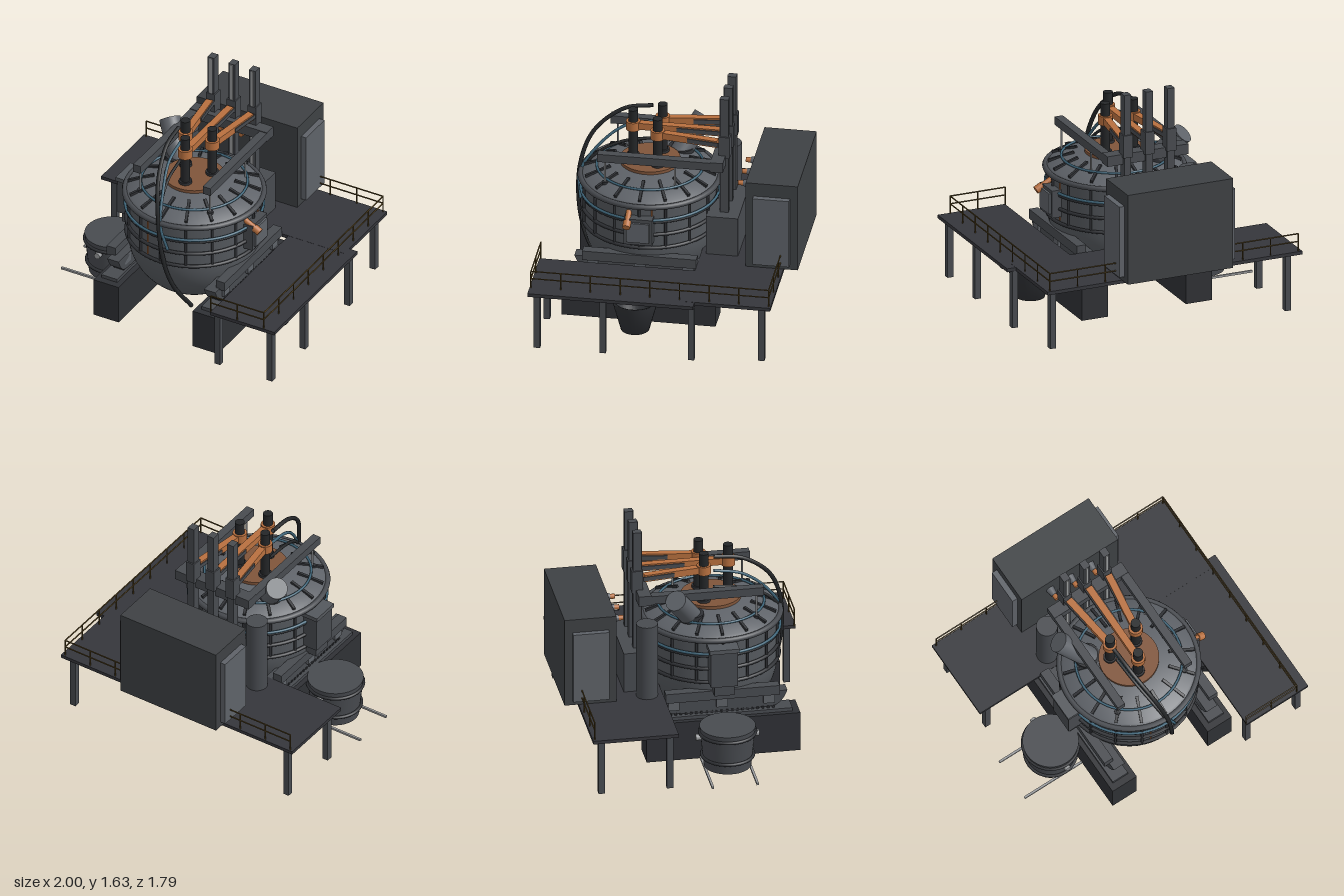
import * as THREE from 'three';

const V = (x, y, z) => new THREE.Vector3(x, y, z);
const mat = (color) => new THREE.MeshStandardMaterial({ color, side: THREE.DoubleSide });
const M = {
  shell: mat(0x54585d), steel: mat(0x484b50), pale: mat(0x5e6268), dark: mat(0x2f3135), black: mat(0x242628),
  deck: mat(0x35363b), house: mat(0x3e4144), light: mat(0x9a9c9e), copper: mat(0xb8703f), hub: mat(0x80553a),
  blue: mat(0x3e6478), rail: mat(0x54421c),
};
const CX = -0.03, CZ = 0.2; // furnace axis

export function createModel() {
  const root = new THREE.Group();
  const add = (name, geo, m, parent = root) => {
    const mesh = new THREE.Mesh(geo, m);
    mesh.name = name;
    parent.add(mesh);
    return mesh;
  };
  // Box from its min and max corners
  const box = (name, m, x0, x1, y0, y1, z0, z1) => {
    const b = add(name, new THREE.BoxGeometry(x1 - x0, y1 - y0, z1 - z0), m);
    b.position.set((x0 + x1) / 2, (y0 + y1) / 2, (z0 + z1) / 2);
    return b;
  };
  // Cylinder between two points
  const rod = (name, m, a, b, r0, r1 = r0, seg = 20) => {
    const c = add(name, new THREE.CylinderGeometry(r1, r0, a.distanceTo(b), seg), m);
    c.position.copy(a).lerp(b, 0.5);
    c.quaternion.setFromUnitVectors(V(0, 1, 0), b.clone().sub(a).normalize());
    return c;
  };
  // Rectangular bar between two points
  const bar = (name, m, a, b, w, h) => {
    const c = add(name, new THREE.BoxGeometry(w, h, a.distanceTo(b)), m);
    c.position.copy(a).lerp(b, 0.5);
    c.lookAt(b);
    return c;
  };
  const hoop = (name, m, x, y, z, r, t) => {
    const h = add(name, new THREE.TorusGeometry(r, t, 8, 56), m);
    h.rotation.x = Math.PI / 2;
    h.position.set(x, y, z);
  };
  const lathe = (name, m, pts) => {
    const l = add(name, new THREE.LatheGeometry(pts.map(p => new THREE.Vector2(...p)), 56), m);
    l.position.set(CX, 0, CZ);
  };
  const polar = (r, y, a) => V(CX + r * Math.sin(a), y, CZ + r * Math.cos(a));

  // Furnace vessel: round bowl, straight wall, domed roof
  const bowl = [[0, 0.15]];
  for (let i = 0; i <= 12; i++) {
    const y = 0.15 + (i / 12) * 0.4;
    bowl.push([0.46 * Math.sqrt(1 - ((0.55 - y) / 0.44) ** 2), y]);
  }
  lathe('bowl', M.shell, bowl);
  lathe('wall', M.shell, [[0.46, 0.55], [0.46, 0.89]]);
  lathe('roof', M.pale, [[0.48, 0.89], [0.455, 0.92], [0.36, 0.96], [0.2, 1.0], [0, 1.01]]);
  rod('roofCentre', M.hub, V(CX, 0.99, CZ), V(CX, 1.02, CZ), 0.21, 0.21, 48);
  hoop('rimRing', M.steel, CX, 0.89, CZ, 0.482, 0.02);
  for (const y of [0.565, 0.67, 0.77]) hoop('wallHoop', M.dark, CX, y, CZ, 0.472, 0.013);
  hoop('coolingPipe', M.blue, CX, 0.787, CZ, 0.48, 0.01);
  hoop('roofCoolingPipe', M.blue, CX, 0.968, CZ, 0.37, 0.009);
  for (let i = 0; i < 16; i++) {
    const a = (i * Math.PI) / 8;
    rod('wallRib', M.dark, polar(0.47, 0.56, a), polar(0.47, 0.88, a), 0.01, 0.01, 8);
    bar('roofRib', M.dark, polar(0.28, 0.985, a), polar(0.46, 0.925, a), 0.02, 0.025);
  }
  for (const a of [-0.253, 1.757]) rod('sensorStrip', M.copper, polar(0.463, 0.58, a), polar(0.463, 0.87, a), 0.005, 0.005, 8);

  // Tapping housing with spout on one side, door and burner on the other
  box('tapHousing', M.steel, -0.59, -0.46, 0.57, 0.84, 0.1, 0.29);
  box('tapHousingCap', M.shell, -0.6, -0.46, 0.83, 0.86, 0.09, 0.3);
  box('tapSpout', M.steel, -0.565, -0.45, 0.49, 0.57, 0.13, 0.27);
  box('slagDoorFrame', M.steel, 0.4, 0.49, 0.61, 0.81, 0.1, 0.3);
  box('slagDoor', M.pale, 0.48, 0.505, 0.635, 0.785, 0.12, 0.28);
  rod('burner', M.copper, V(0.4, 0.84, 0.275), V(0.51, 0.78, 0.275), 0.02);
  rod('burnerTip', M.copper, V(0.49, 0.79, 0.275), V(0.535, 0.765, 0.275), 0.028);

  // Foundations, rails and rocker cradles
  const rocker = new THREE.Shape();
  rocker.moveTo(-0.46, 0.44);
  rocker.quadraticCurveTo(-0.42, 0.335, -0.36, 0.328);
  rocker.quadraticCurveTo(0, 0.305, 0.36, 0.328);
  rocker.quadraticCurveTo(0.42, 0.335, 0.46, 0.44);
  rocker.closePath();
  for (const s of [-1, 1]) {
    const at = (name, m, a, b, ...rest) => box(name, m, CX + Math.min(s * a, s * b), CX + Math.max(s * a, s * b), ...rest);
    at('foundation', M.dark, 0.295, 0.495, 0, 0.29, -0.34, 0.74);
    at('rockerRail', M.steel, 0.335, 0.46, 0.29, 0.315, -0.24, 0.69);
    at('cradleBeam', M.steel, 0.4, 0.47, 0.43, 0.5, -0.2, 0.6);
    const r = add('rocker', new THREE.ExtrudeGeometry(rocker, { depth: 0.09, bevelEnabled: false, curveSegments: 12 }), M.steel);
    r.rotation.y = -Math.PI / 2;
    r.position.set(CX + s * 0.385 + 0.045, 0, CZ);
    for (const z of [-0.14, CZ, 0.53]) at('rockerLug', M.pale, 0.34, 0.45, 0.36, 0.43, z - 0.04, z + 0.04);
    for (let i = -10; i <= 10; i++) at('rockerTooth', M.dark, 0.35, 0.435, 0.312, 0.33, CZ + i * 0.036 - 0.008, CZ + i * 0.036 + 0.008);
  }

  // Electrodes with clamps, arms and masts
  const electrodes = [[-0.14, 0.13, -0.195], [-0.033, 0.32, -0.03], [0.073, 0.13, 0.135]];
  for (const [x, z, mx] of electrodes) {
    rod('electrode', M.black, V(x, 0.96, z), V(x, 1.39, z), 0.034);
    rod('electrodeSeal', M.dark, V(x, 1.01, z), V(x, 1.04, z), 0.046);
    rod('electrodeClamp', M.copper, V(x, 1.235, z), V(x, 1.3, z), 0.05);
    bar('electrodeArm', M.copper, V(x, 1.268, z), V(mx, 1.268, -0.3), 0.05, 0.05);
    for (const d of [-0.029, 0.029])
      bar('armPlate', M.steel, V(x + (mx - x) * 0.5 + d, 1.268, z - (z + 0.3) * 0.5), V(mx + d, 1.268, -0.31), 0.008, 0.03);
    box('mast', M.steel, mx - 0.026, mx + 0.026, 0.44, 1.63, -0.38, -0.32);
    box('mastGuide', M.light, mx - 0.01, mx + 0.01, 0.74, 1.625, -0.33, -0.315);
    box('mastCarriage', M.steel, mx - 0.035, mx + 0.035, 1.17, 1.335, -0.39, -0.312);
    // Bushing on the power house
    rod('bushing', M.pale, V(mx, 0.97, -0.54), V(mx, 0.97, -0.48), 0.032, 0.022);
    rod('bushingTip', M.copper, V(mx, 0.97, -0.49), V(mx, 0.97, -0.445), 0.018);
  }
  box('mastBase', M.steel, -0.3, 0.24, 0.44, 0.74, -0.46, -0.235);

  // Roof lifting gantry
  for (const x of [-0.305, 0.25]) {
    box('gantryBeam', M.steel, x - 0.03, x + 0.03, 1.125, 1.185, -0.34, 0.52);
    for (const z of [-0.02, 0.47]) {
      rod('liftRod', M.light, V(x, 0.93, z), V(x, 1.14, z), 0.007, 0.007, 8);
      rod('liftLug', M.dark, V(x, 0.92, z), V(x, 0.96, z), 0.022);
    }
  }
  box('gantryCrossBeam', M.steel, -0.335, 0.28, 1.115, 1.19, -0.36, -0.27);

  // Fume elbow and fume column
  rod('fumeCollar', M.dark, V(-0.26, 0.93, 0.02), V(-0.26, 1.0, 0.02), 0.09, 0.09, 28);
  rod('fumeElbow', M.pale, V(-0.24, 0.95, 0.03), V(-0.405, 1.175, -0.115), 0.075, 0.075, 28);
  rod('fumeColumn', M.steel, V(-0.37, 0.44, -0.31), V(-0.37, 1.0, -0.31), 0.075, 0.075, 28);

  // Power house with side panels
  box('powerHouse', M.house, -0.43, 0.37, 0.445, 1.105, -0.9, -0.535);
  box('leftPanel', M.pale, 0.37, 0.41, 0.485, 1.005, -0.845, -0.59);
  box('rightPanel', M.pale, -0.47, -0.43, 0.485, 1.005, -0.845, -0.59);

  // L-shaped platform and legs
  box('rearDeck', M.deck, -1, 0.935, 0.42, 0.445, -0.8, -0.2);
  box('sideDeck', M.deck, 0.49, 1, 0.419, 0.444, -0.27, 0.89);
  const legs = [[-0.915, -0.73], [-0.915, -0.25], [0.87, -0.73], [0.94, -0.25], [0.94, 0.37], [0.94, 0.83], [0.525, 0.83]];
  for (const [x, z] of legs) box('platformLeg', M.steel, x - 0.022, x + 0.022, 0, 0.42, z - 0.022, z + 0.022);

  // Guard rail along the outer edges
  const corners = [[0.49, 0.88], [0.91, 0.88], [0.91, -0.785], [-0.975, -0.785]];
  for (let i = 0; i < 3; i++) {
    const a = V(corners[i][0], 0, corners[i][1]), b = V(corners[i + 1][0], 0, corners[i + 1][1]);
    for (const y of [0.515, 0.572]) rod('guardRail', M.rail, a.clone().setY(y), b.clone().setY(y), 0.005, 0.005, 6);
    const n = Math.round(a.distanceTo(b) / 0.209);
    for (let k = 0; k <= n; k++) {
      const p = a.clone().lerp(b, k / n);
      rod('railPost', M.rail, p.clone().setY(0.44), p.clone().setY(0.572), 0.005, 0.005, 6);
    }
  }

  // Ladle on its rails
  rod('ladle', M.steel, V(-0.68, 0.02, CZ), V(-0.68, 0.32, CZ), 0.165, 0.195, 40);
  hoop('ladleBand', M.dark, -0.68, 0.1, CZ, 0.18, 0.012);
  hoop('ladleBand', M.dark, -0.68, 0.275, CZ, 0.194, 0.012);
  rod('trunnion', M.light, V(-0.68, 0.245, -0.025), V(-0.68, 0.245, 0.42), 0.022);
  for (const z of [0.04, 0.355]) box('ladleRail', M.light, -1, -0.4, 0, 0.015, z - 0.008, z + 0.008);

  // Open slag pot
  const pot = [[0, 0.02], [0.1, 0.02], [0.16, 0.245], [0.145, 0.245], [0.09, 0.04], [0, 0.04]];
  add('slagPot', new THREE.LatheGeometry(pot.map(p => new THREE.Vector2(...p)), 32), M.dark).position.set(0.61, 0, CZ);

  // Hanging hoses
  const hose = (m, r, pts) => add('hose', new THREE.TubeGeometry(new THREE.CatmullRomCurve3(pts.map(p => V(...p))), 48, r, 8), m);
  hose(M.black, 0.015, [[-0.155, 1.365, 0.2], [-0.14, 1.33, 0.4], [-0.09, 1.17, 0.6], [-0.04, 0.93, 0.69],
    [0, 0.6, 0.69], [0.04, 0.36, 0.62], [0.09, 0.11, 0.45]]);
  hose(M.blue, 0.011, [[-0.14, 1.25, 0.2], [-0.12, 1.2, 0.4], [-0.07, 1.06, 0.57], [-0.02, 0.87, 0.69], [0.03, 0.69, 0.68]]);
  hose(M.black, 0.011, [[-0.13, 1.12, 0.2], [-0.11, 1.08, 0.42], [-0.07, 0.98, 0.6], [-0.03, 0.83, 0.7], [0.01, 0.54, 0.67]]);

  return root;
}
